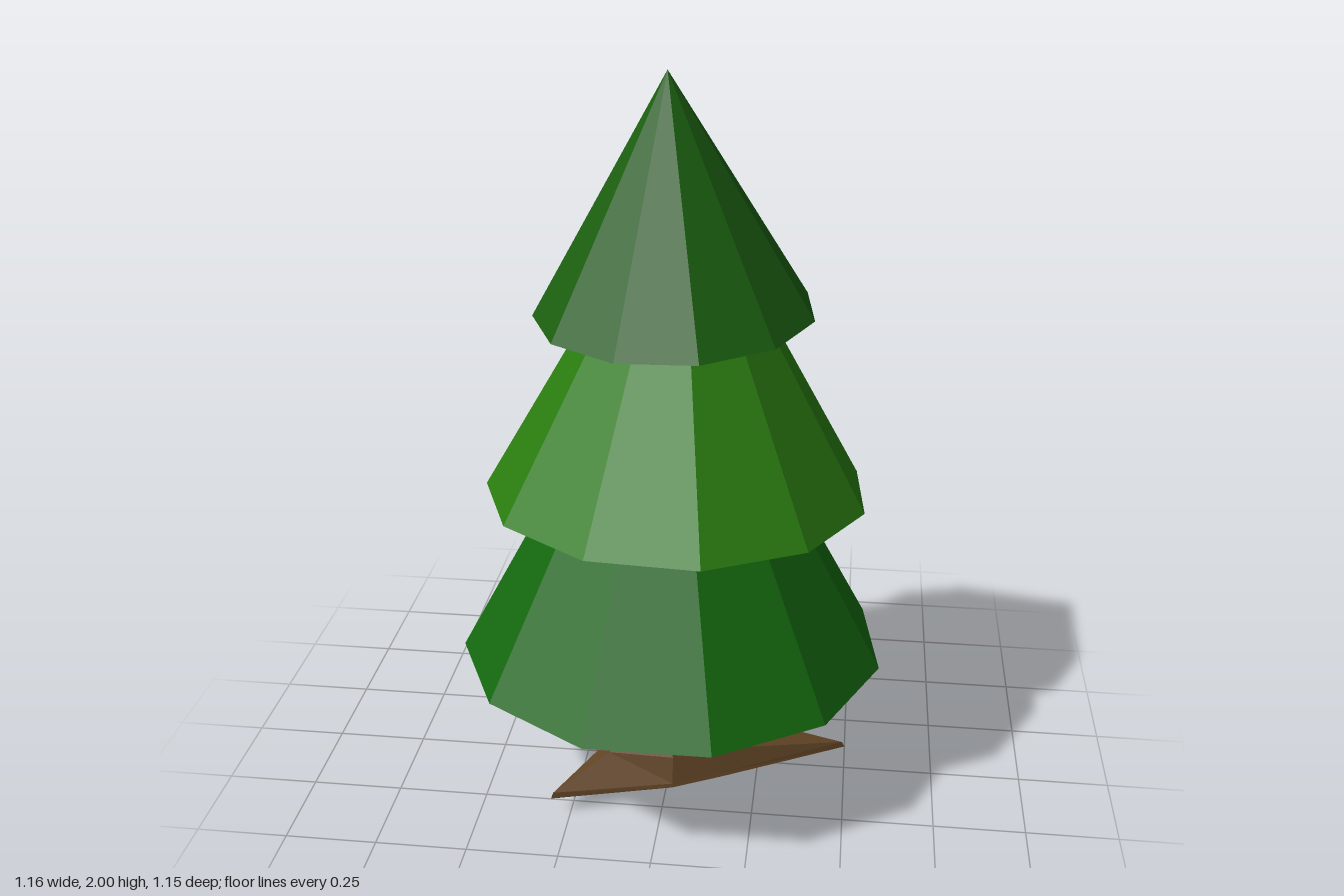
import * as THREE from 'three';

const SIDES = 11;
const deg = Math.PI / 180;

const paint = (color) => new THREE.MeshStandardMaterial({ color, flatShading: true });

// One tier of foliage: a closed cone pivoting on its base centre
function foliage(name, color, radius, height, turn, position, tilt) {
  const geometry = new THREE.ConeGeometry(radius, height, SIDES, 1, false, turn);
  geometry.translate(0, height / 2, 0);
  const mesh = new THREE.Mesh(geometry, paint(color));
  mesh.name = name;
  mesh.position.set(...position);
  mesh.rotation.set(tilt[0], 0, tilt[1]);
  return mesh;
}

// Trunk that flares into three pointed roots, skinned over rings from top to foot
function trunkAndRoots() {
  const cx = 0.015, cz = 0.025;
  // angle, reach and height of each root tip
  const roots = [
    { angle: -98, reach: 0.46, tip: 0.0 },
    { angle: -12, reach: 0.496, tip: 0.02 },
    { angle: 137, reach: 0.432, tip: 0.052 },
  ];
  const rings = [[], [], [], [], []];
  const put = (ring, angle, r, y) =>
    rings[ring].push([cx + r * Math.cos(angle * deg), y, cz + r * Math.sin(angle * deg)]);

  roots.forEach((root, i) => {
    const before = (root.angle - roots[(i + 2) % 3].angle + 360) % 360 / 3;
    const after = (roots[(i + 1) % 3].angle - root.angle + 360) % 360 / 3;
    [-before, 0, after].forEach((offset) => {
      const a = root.angle + offset;
      const gap = Math.abs(offset);
      put(0, a, 0.11, 0.6);
      put(1, a, 0.11, 0.24);
      if (offset === 0) {
        // ridge running out to the tip
        put(2, a, 0.235, 0.125);
        put(3, a, root.reach - 0.008, root.tip + 0.016);
        put(4, a, root.reach, root.tip);
      } else {
        // foot of the flank between two roots
        const foot = gap > 35 ? 0.18 : 0.14;
        put(2, a, 0.11 + (foot - 0.11) * 0.6, 0.115);
        put(3, a, foot - 0.004, 0.045);
        put(4, a, foot, 0.035);
      }
    });
  });

  const n = rings[0].length;
  const positions = [];
  const face = (...corners) => corners.forEach((c) => positions.push(...c));
  for (let i = 0; i < n; i++) {
    const j = (i + 1) % n;
    for (let k = 0; k < rings.length - 1; k++) {
      const top = rings[k], low = rings[k + 1];
      face(top[i], top[j], low[i]);
      face(top[j], low[j], low[i]);
    }
    // underside
    face(rings[4][i], rings[4][j], [cx, 0.035, cz]);
  }
  const geometry = new THREE.BufferGeometry();
  geometry.setAttribute('position', new THREE.Float32BufferAttribute(positions, 3));
  geometry.computeVertexNormals();
  const mesh = new THREE.Mesh(geometry, paint(0x634526));
  mesh.name = 'trunkAndRoots';
  return mesh;
}

export function createModel() {
  const tree = new THREE.Group();
  tree.name = 'pineTree';
  tree.add(
    trunkAndRoots(),
    foliage('lowerFoliage', 0x14690f, 0.588, 1.08, Math.PI, [0, 0.39, 0], [0, 0]),
    foliage('middleFoliage', 0x2a7d0f, 0.52, 0.91, Math.PI - 0.06, [0.012, 0.87, 0], [-0.03, -0.008]),
    foliage('upperFoliage', 0x1b5f10, 0.372, 0.63, Math.PI - 0.01, [0.004, 1.371, -0.012], [0.05, 0.022]),
  );
  return tree;
}
